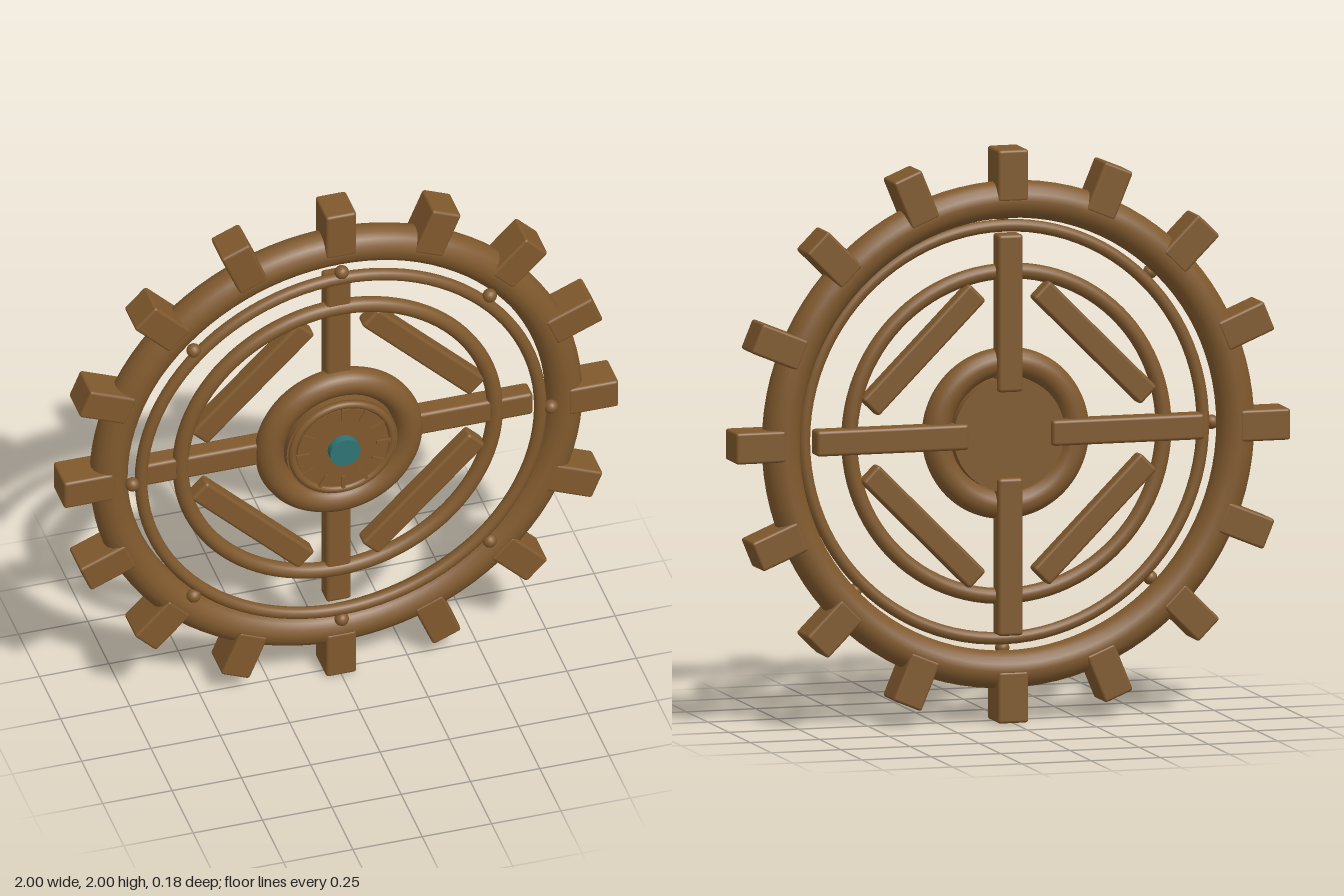
import * as THREE from 'three';
import { RoundedBoxGeometry } from 'three/addons/geometries/RoundedBoxGeometry.js';

const MID = -0.0225; // middle plane of the rim and teeth

export function createModel() {
  const wood = new THREE.MeshStandardMaterial({ color: 0x80592d });
  wood.name = 'brown wood';
  const teal = new THREE.MeshStandardMaterial({ color: 0x2f7474 });
  teal.name = 'teal gem';

  const wheel = new THREE.Group();
  wheel.name = 'wheel';
  wheel.position.y = 1;

  const add = (name, geometry, z, material = wood, parent = wheel) => {
    const mesh = new THREE.Mesh(geometry, material);
    mesh.name = name;
    mesh.position.z = z;
    parent.add(mesh);
    return mesh;
  };
  const ring = (name, radius, tube, z) =>
    add(name, new THREE.TorusGeometry(radius, tube, 16, 96), z);
  const disc = (name, radius, back, front, material) =>
    add(name, new THREE.CylinderGeometry(radius, radius, front - back, 48).rotateX(Math.PI / 2),
      (back + front) / 2, material);
  // Repeats a part evenly around the axle
  const around = (name, count, radius, geometry, z, start = 0) => {
    const group = new THREE.Group();
    group.name = name + 's';
    for (let i = 0; i < count; i++) {
      const a = start + (i / count) * Math.PI * 2;
      const mesh = add(name, geometry, z, wood, group);
      mesh.position.x = Math.cos(a) * radius;
      mesh.position.y = Math.sin(a) * radius;
      mesh.rotation.z = a;
    }
    wheel.add(group);
  };

  // Rim and teeth
  ring('rim', 0.82, 0.066, MID);
  around('tooth', 16, 0.91, new RoundedBoxGeometry(0.18, 0.11, 0.135, 2, 0.01), MID);

  // Inner rings and beads
  ring('thinRing', 0.72, 0.022, 0.033);
  ring('middleRing', 0.567, 0.028, -0.003);
  around('bead', 8, 0.755, new THREE.SphereGeometry(0.025, 16, 12), 0.045);

  // Spokes and slanted braces
  around('spoke', 4, 0.425, new RoundedBoxGeometry(0.55, 0.09, 0.075, 2, 0.012), MID);
  around('brace', 4, 0.436, new RoundedBoxGeometry(0.085, 0.55, 0.06, 2, 0.012), -0.018, Math.PI / 4);

  // Hub with its carved sunburst and gem
  ring('hubRing', 0.25, 0.05, 0.008);
  disc('hubDisc', 0.2, -0.038, 0.05);
  disc('hubFace', 0.165, 0.05, 0.06);
  ring('hubTrim', 0.18, 0.014, 0.052);
  around('sunburstRay', 12, 0.145, new THREE.BoxGeometry(0.05, 0.012, 0.012), 0.062);
  disc('gem', 0.055, 0.05, 0.09, teal);

  const model = new THREE.Group();
  model.name = 'model';
  model.add(wheel);
  return model;
}
